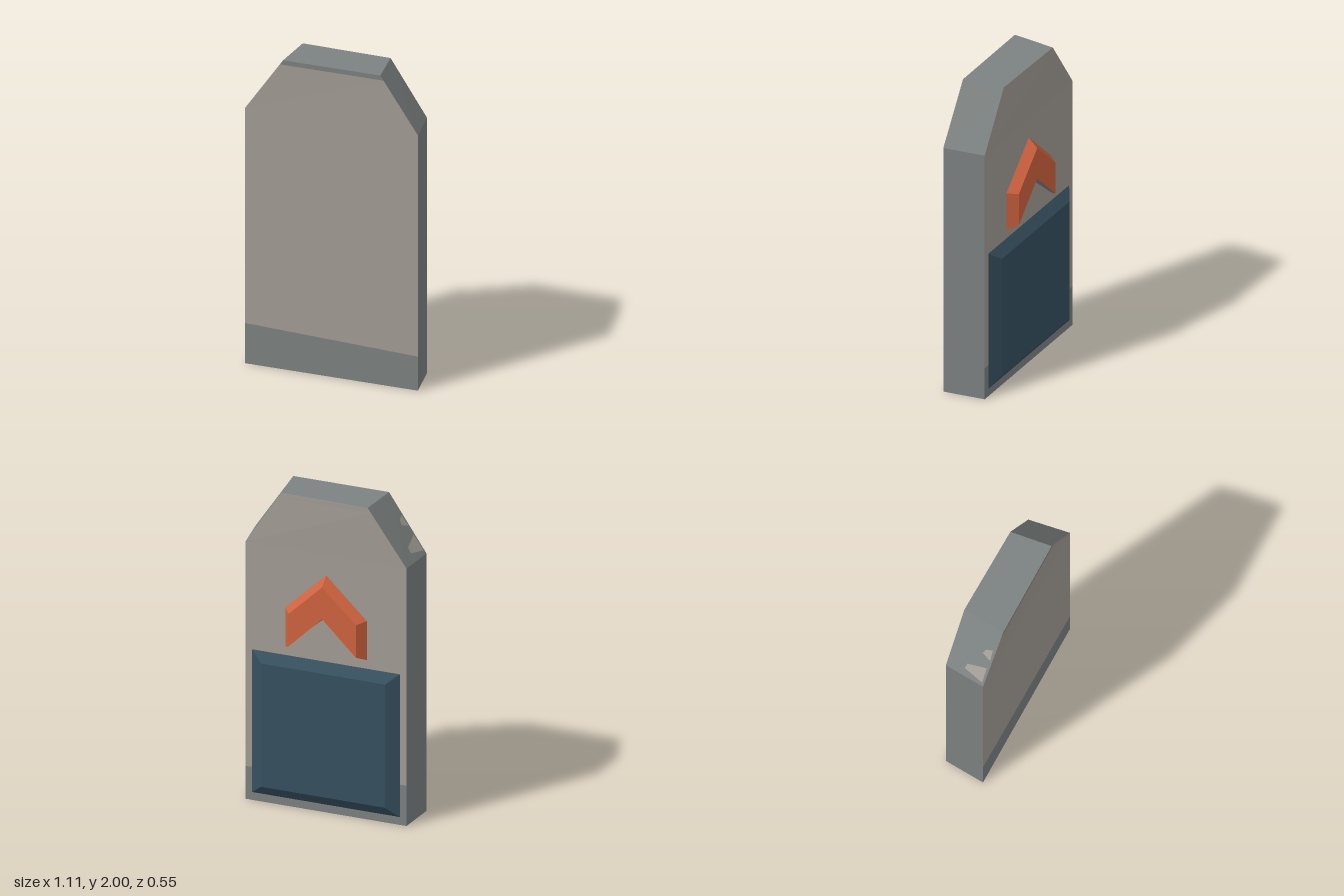
import * as THREE from 'three';

const mat = (name, color) => {
  const m = new THREE.MeshStandardMaterial({ color });
  m.name = name;
  return m;
};

// Joins rings of points into flat faces; paint(level, side) picks a material index.
// Rings run anticlockwise as seen from the last ring's end.
function loft(name, rings, materials, paint = () => 0, closeStart = false) {
  const buckets = materials.map(() => []);
  const n = rings[0].length;
  for (let l = 0; l < rings.length - 1; l++) {
    for (let i = 0; i < n; i++) {
      const j = (i + 1) % n;
      const [a, b, c, d] = [rings[l][i], rings[l][j], rings[l + 1][j], rings[l + 1][i]];
      buckets[paint(l, i)].push(a, b, c, a, c, d);
    }
  }
  const last = rings[rings.length - 1];
  for (let k = 2; k < n; k++) {
    const p = k, q = (k + 1) % n;
    buckets[0].push(last[1], last[p], last[q]);
    if (closeStart) buckets[0].push(rings[0][1], rings[0][q], rings[0][p]);
  }
  const geo = new THREE.BufferGeometry();
  geo.setAttribute('position', new THREE.Float32BufferAttribute(buckets.flat(2), 3));
  let start = 0;
  buckets.forEach((b, i) => {
    geo.addGroup(start, b.length, i);
    start += b.length;
  });
  geo.computeVertexNormals();
  const mesh = new THREE.Mesh(geo, materials);
  mesh.name = name;
  return mesh;
}

export function createModel() {
  const stone = mat('warm stone', 0xa29d95);
  const gray = mat('cool gray', 0x7c8281);
  const navy = mat('navy panel', 0x36505f);
  const orange = mat('orange', 0xd0633f);
  const group = new THREE.Group();
  group.name = 'slab marker';

  // Turned slab: corners front left, front right, back right, back left on screen
  const foot = [[-0.5, 0.272], [0.552, -0.03], [0.44, -0.266], [-0.555, 0.02]];
  const head = [[-0.265, 0.21], [0.325, 0.038], [0.22, -0.2], [-0.32, -0.055]];
  const shoulder = 1.65;
  const ring = (ys) => foot.map(([x, z], i) => {
    const t = Math.max(0, (ys[i] - shoulder) / (2 - shoulder));
    return [x + (head[i][0] - x) * t, ys[i], z + (head[i][1] - z) * t];
  });
  const flat = (y) => ring([y, y, y, y]);
  const slabRings = [flat(0), ring([0.26, 0.22, 0.21, 0.26]), flat(shoulder), flat(1.97), flat(2)];
  group.add(loft('slab', slabRings, [gray, stone], (level, side) => {
    if (side === 0) return level === 1 || level === 2 ? 1 : 0; // front
    if (side === 2) return level > 0 ? 1 : 0;                  // back
    return 0;
  }, true));

  // Worn patches on one sloped shoulder
  const low = flat(shoulder), high = flat(2);
  const mix = (a, b, t) => a.map((v, k) => v + (b[k] - v) * t);
  const onSlope = ([s, t]) => {
    const p = mix(mix(low[0], high[0], s), mix(low[3], high[3], s), t);
    return [p[0] - 0.003, p[1] + 0.003, p[2]];
  };
  const patches = [
    [[0.06, 0.05], [0.32, 0.06], [0.22, 0.52], [0.13, 0.55]],
    [[0.46, 0.05], [0.64, 0.07], [0.6, 0.22], [0.52, 0.27]],
  ];
  for (const p of patches) {
    const geo = new THREE.BufferGeometry();
    const [a, b, c, d] = p.map(onSlope);
    geo.setAttribute('position', new THREE.Float32BufferAttribute([a, b, c, a, c, d].flat(), 3));
    geo.computeVertexNormals();
    const mesh = new THREE.Mesh(geo, stone);
    mesh.name = 'wornPatch';
    group.add(mesh);
  }

  // Point on the back face, raised outward by d
  const onBack = (d) => ([x, y]) => [
    x - 0.275 * d, y, 0.02 - 0.2874 * (x + 0.555) - 0.961 * d,
  ];
  const rect = (x0, x1, y0, y1) => [[x1, y0], [x0, y0], [x0, y1], [x1, y1]];

  // Bevelled panel
  group.add(loft('backPanel', [
    rect(-0.515, 0.4, 0.05, 0.965).map(onBack(0)),
    rect(-0.442, 0.325, 0.115, 0.905).map(onBack(0.047)),
  ], [navy]));

  // Bevelled chevron with one bare underside
  const chevron = (half, bottom, notch, top, peak) => {
    const c = -0.058;
    return [[c + half, bottom], [c, notch], [c - half, bottom],
      [c - half, top], [c, peak], [c + half, top]];
  };
  group.add(loft('chevron', [
    chevron(0.252, 1.02, 1.25, 1.27, 1.52).map(onBack(0)),
    chevron(0.208, 1.05, 1.26, 1.258, 1.465).map(onBack(0.058)),
  ], [orange, gray], (level, side) => (side === 1 ? 1 : 0)));

  return group;
}
